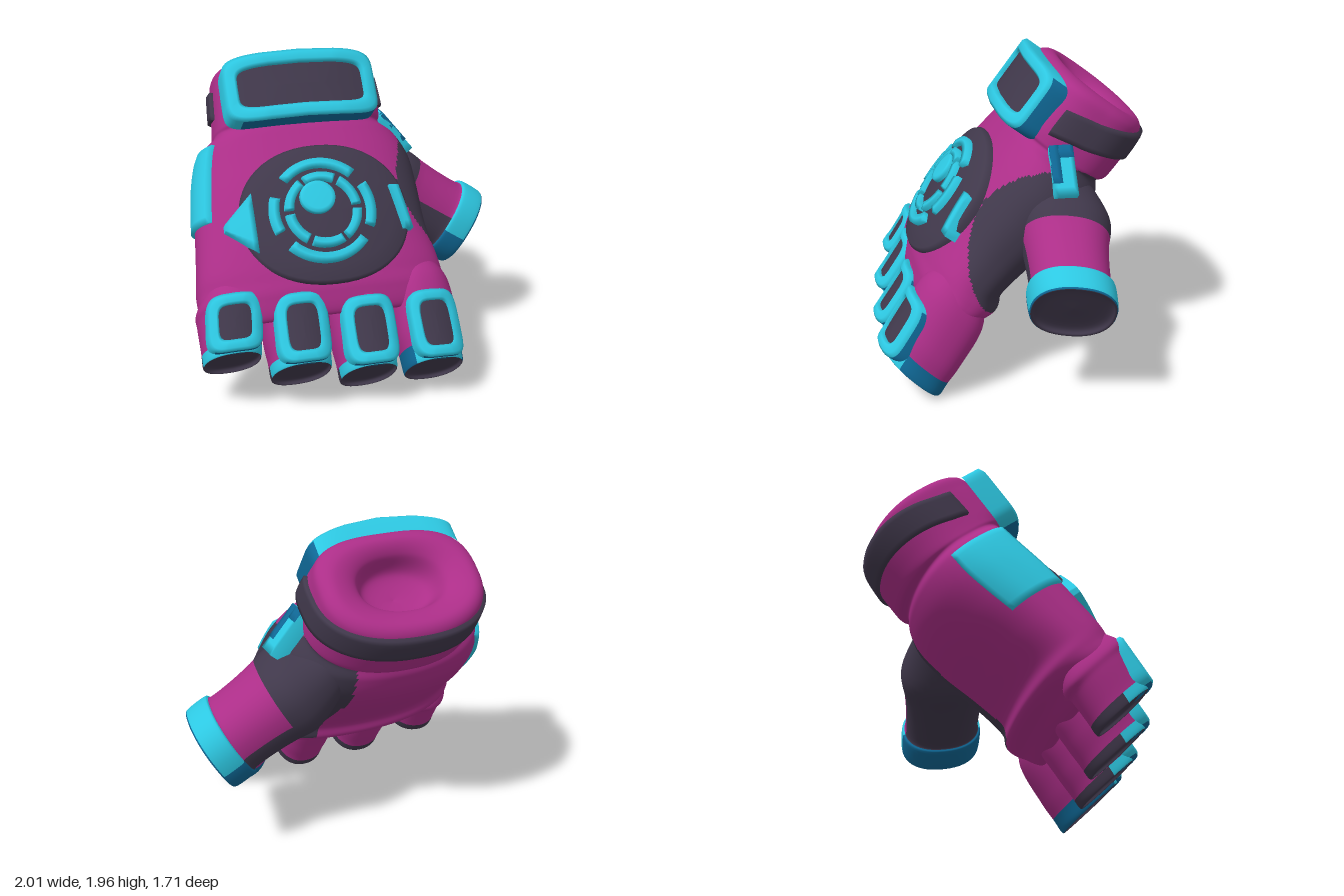
import * as THREE from 'three';

const mat = (name, color) => Object.assign(new THREE.MeshStandardMaterial({ color }), { name });
const magenta = mat('magenta fabric', 0xac2e88);
const dark = mat('dark padding', 0x40384b);
const cyan = mat('cyan trim', 0x2dc8e2);
const blue = mat('deep blue trim', 0x0f6896);

const spow = (a, e) => Math.sign(a) * Math.abs(a) ** e;
const rad = THREE.MathUtils.degToRad;

// Grid surface; pick(u, v, point) chooses the material of each cell.
function surface(name, fn, nu, nv, mats, pick = () => 0, wrap = true) {
  const cols = wrap ? nv : nv + 1, pos = [], buckets = mats.map(() => []);
  for (let i = 0; i <= nu; i++) for (let j = 0; j < cols; j++) pos.push(...fn(i / nu, j / nv));
  for (let i = 0; i < nu; i++) for (let j = 0; j < nv; j++) {
    const k = (j + 1) % cols, a = i * cols + j, b = a + cols, c = (i + 1) * cols + k, d = i * cols + k;
    const u = (i + 0.5) / nu, v = (j + 0.5) / nv;
    buckets[pick(u, v, fn(u, v))].push(a, b, c, a, c, d);
  }
  const g = new THREE.BufferGeometry();
  g.setAttribute('position', new THREE.Float32BufferAttribute(pos, 3));
  g.setIndex(buckets.flat());
  let start = 0;
  buckets.forEach((b, m) => { g.addGroup(start, b.length, m); start += b.length; });
  g.computeVertexNormals();
  const mesh = new THREE.Mesh(g, mats.length > 1 ? mats : mats[0]);
  mesh.name = name;
  return mesh;
}

// Smooth interpolation through rows of numbers, t in 0..1.
function sample(rows, t) {
  const n = rows.length - 1, s = Math.min(t * n, n - 1e-6), i = Math.floor(s), f = s - i;
  const [a, b, c, d] = [-1, 0, 1, 2].map(o => rows[Math.min(n, Math.max(0, i + o))]);
  return b.map((q, k) => q + 0.5 * f * (c[k] - a[k] +
    f * (2 * a[k] - 5 * q + 4 * c[k] - d[k] + f * (3 * (q - c[k]) + d[k] - a[k]))));
}

// Raised pad with soft walls; place(u, v, h) returns a point.
function pad(name, m, place, nu, nv, height, base = -0.03) {
  const inner = (t, n) => Math.min(1, Math.max(0, (t * n - 1) / (n - 2)));
  return surface(name, (u, v) => {
    const edge = u === 0 || v === 0 || u === 1 || v === 1;
    return place(inner(u, nu), inner(v, nv), edge ? base : height);
  }, nu, nv, [m], undefined, false);
}

// Rounded outline swept through rows of [inset, height], inside to outside.
// A second material colours the outer wall at the lower left of the model.
function panel(name, mats, a, b, n, rows, place) {
  const last = rows.length - 1;
  return surface(name, (u, v) => {
    const [d, h] = rows[Math.round(u * last)], t = v * Math.PI * 2;
    return place((a - d) * spow(Math.cos(t), 2 / n), (b - d) * spow(Math.sin(t), 2 / n), h);
  }, last, 56, mats, (u, v) => +(mats.length > 1 && u * last > last - 1 && (v > 0.66 || v < 0.1)));
}
const frameRows = (w, h, base) => [[w, -0.02], [w, h * 0.6], [w * 0.8, h], [w * 0.25, h], [0, h * 0.6], [0, base]];
const solidRows = (r, h) => [[r, h], [r * 0.75, h], [r * 0.5, h], [r * 0.25, h], [r * 0.04, h], [0, h - 0.02], [0, -0.06]];

// Hand and cuff sections: height along hand, left x, right x, palm depth, back depth, squareness.
const HAND = [
  [0.14, -0.5, 0.1, 0.58, 0.72, 0.83], [0.08, -0.9, 0.46, 0.46, 0.84, 0.83], [0.2, -0.97, 0.53, 0.38, 0.91, 0.8],
  [0.3, -0.98, 0.53, 0.32, 0.93, 0.8], [0.4, -0.97, 0.51, 0.35, 0.94, 0.8], [0.6, -0.945, 0.48, 0.3, 0.95, 0.82],
  [0.85, -0.915, 0.48, 0.23, 0.95, 0.83], [1.05, -0.88, 0.47, 0.2, 0.93, 0.82], [1.2, -0.83, 0.4, 0.22, 0.91, 0.78],
  [1.27, -0.75, 0.31, 0.25, 0.9, 0.7], [1.31, -0.74, 0.31, 0.21, 0.93, 0.66], [1.4, -0.73, 0.31, 0.2, 0.95, 0.65],
  [1.58, -0.715, 0.3, 0.2, 0.94, 0.65], [1.68, -0.695, 0.28, 0.22, 0.92, 0.67], [1.715, -0.62, 0.2, 0.29, 0.85, 0.8],
  [1.66, -0.5, 0.07, 0.4, 0.78, 0.9], [1.52, -0.41, -0.02, 0.46, 0.73, 0.95], [1.48, -0.21, -0.21, 0.58, 0.58, 0.95],
];
function handPoint(t, ang, grow = 0) {
  const [v, l, r, p, b, square] = sample(HAND, t);
  const e = Math.sin(ang) > 0 ? square : 0.9;
  return [(l + r) / 2 + ((r - l) / 2 + grow) * spow(Math.cos(ang), e), v,
    (p + b) / 2 + ((b - p) / 2 + grow) * spow(Math.sin(ang), e)];
}
// Parameter of the outer hand surface at a given height.
function handParam(v) {
  let lo = 2 / 17, hi = 13.3 / 17;
  for (let i = 0; i < 30; i++) {
    const mid = (lo + hi) / 2;
    if (sample(HAND, mid)[0] < v) lo = mid; else hi = mid;
  }
  return lo;
}
const onHand = (v0, v1, a0, a1, shift = () => 0) => (u, v, h) => {
  const ang = rad(a0 + (a1 - a0) * v);
  return handPoint(handParam(v0 + (v1 - v0) * u + shift(ang)), ang, h);
};

// Fingertip-first tube used for fingers and thumb; roll leans it sideways.
function tube(name, rows, mats, pick, bend = () => [0, 0], roll = 0) {
  return surface(name, (u, v) => {
    const [y, rx, rz] = sample(rows, u), t = v * Math.PI * 2, [bx, bz] = bend(y);
    const x = rx * spow(Math.cos(t), 0.88), z = rz * spow(Math.sin(t), 0.88);
    return [bx + x, y + z * 0.12, bz + z - roll * x];
  }, 48, 48, mats, pick);
}

export function createModel() {
  const model = new THREE.Group();
  model.name = 'fingerless glove';
  const hand = new THREE.Group();
  hand.name = 'hand';
  hand.rotation.x = -Math.atan2(0.6, 0.8);
  model.add(hand);

  // Palm, back and hollow cuff, with a dark gusset round the thumb
  hand.add(surface('handAndCuff', (u, v) => handPoint(u, v * Math.PI * 2), 170, 180, [magenta, dark],
    (u, v, [x, y, z]) => +(x > 0.06 && ((y - 0.8) / 0.5) ** 2 + ((z - 0.42) / 0.45) ** 2 < 1)));

  // Strap round the back of the cuff, slanting upward towards the palm
  const slant = a => 0.24 * (0.23 - 0.37 * spow(Math.sin(a), 0.83));
  hand.add(pad('cuffStrap', dark, onHand(1.355, 1.535, 172, 386, slant), 8, 60, 0.022, -0.02));

  // Trim on both sides of the hand
  hand.add(pad('outerSidePad', cyan, onHand(0.71, 1.2, 150, 204), 14, 16, 0.022));
  const tab = (u0, u1, z0, z1) => (u, v, h) => {
    const s = u0 + (u1 - u0) * u;
    return [0.3 + 0.2 * s + 0.77 * h, 1.5 - 0.24 * s + 0.64 * h, z0 + (z1 - z0) * v];
  };
  model.add(pad('thumbSideTab', cyan, tab(0, 1, -0.18, -0.32), 8, 8, 0.018, -0.08));
  model.add(pad('thumbSideTabEdge', blue, tab(0, 0.75, -0.18, -0.235), 8, 4, 0.023, 0));
  model.add(pad('thumbSideTabTop', blue, tab(0, 0.25, -0.23, -0.32), 4, 6, 0.023, 0));

  // Cuff plate
  const onCuff = (x, y, h) => [-0.23 + x, 1.46 + y, 1.005 - 0.4 * x * x + h];
  hand.add(panel('cuffPlateFrame', [cyan, blue], 0.47, 0.215, 6, frameRows(0.085, 0.045, -0.1), onCuff));
  hand.add(panel('cuffPlateInset', [dark], 0.42, 0.17, 6, solidRows(0.17, 0.012), onCuff));

  // Domed plate on the back of the hand
  const dome = (x, y, h) => [x, y, 1.01 - 0.35 * (x + 0.2) ** 2 - 0.25 * (y - 0.66) ** 2 + h];
  hand.add(panel('backPlate', [dark], 0.51, 0.425, 2.2, solidRows(0.425, 0), (x, y, h) => dome(x - 0.2, y + 0.66, h)));
  hand.add(panel('backPlateButton', [cyan], 0.105, 0.1, 2, solidRows(0.1, 0.035), (x, y, h) => dome(x - 0.255, y + 0.74, h)));
  const arc = (r0, r1, a0, a1) => hand.add(pad('backPlateArc', cyan, (u, v, h) => {
    const r = r0 + (r1 - r0) * u, a = rad(a0 + (a1 - a0) * v);
    return dome(-0.23 + r * Math.cos(a), 0.665 + r * Math.sin(a), h);
  }, 4, 18, 0.03));
  [[222, 318], [45, 135], [160, 202], [-24, 28]].forEach(([a, b]) => arc(0.26, 0.318, a, b));
  for (let i = 0; i < 6; i++) arc(0.175, 0.228, i * 60 + 4, i * 60 + 56);
  hand.add(pad('backPlateWedge', cyan, (u, v, h) =>
    dome(-0.8 + 0.17 * u, 0.64 + (0.02 + 0.16 * u) * (2 * v - 1), h), 8, 8, 0.02, -0.07));
  hand.add(pad('backPlateBar', cyan, (u, v, h) =>
    dome(0.2 + 0.065 * u + 0.05 * (1 - v), 0.52 + 0.27 * v, h), 5, 8, 0.03, -0.07));

  // Fingers: knuckle x, tip x, tip height, half width, half depth, depth shift, roll
  [['little', -0.79, -0.825, -0.1, 0.17, 0.2, -0.05, -0.1], ['ring', -0.42, -0.43, -0.215, 0.18, 0.22, -0.045, 0],
    ['middle', -0.03, -0.03, -0.275, 0.17, 0.22, -0.04, 0], ['index', 0.35, 0.38, -0.285, 0.185, 0.222, -0.05, 0.18]].forEach(
    ([finger, x0, x1, tip, hx, hz, dz, roll]) => {
      const bend = y => {
        const f = (0.4 - y) / (0.4 - tip);
        return [x0 + (x1 - x0) * f, 0.68 + dz * f];
      };
      const rows = [[tip + 0.03, 0, 0], [tip + 0.03, hx * 0.85, hz - 0.04], [tip, hx * 0.95, hz - 0.015], [tip + 0.02, hx, hz],
        [tip + 0.1, hx + 0.005, hz], [tip + 0.24, hx + 0.02, hz + 0.005], [0.22, 0.19, 0.22], [0.38, 0.1, 0.12]];
      const isIndex = finger === 'index';
      hand.add(tube(finger + 'Finger', rows, [magenta, dark, cyan, blue], (u, v) => {
        const s = Math.sin(v * Math.PI * 2);
        if (u < 2.3 / 7) return 1;
        if (u > (isIndex ? 4.1 : 3.6) / 7) return 0;
        return s > 0.6 ? 2 : isIndex ? 3 : s > 0 ? 2 : 1;
      }, bend, roll));
      // Knuckle pad
      const half = finger === 'little' ? 0.165 : 0.2, mid = tip + 0.03 + half;
      const onFinger = (x, y, h) => {
        const [bx, bz] = bend(mid + y);
        return [bx + x, mid + y, bz + hz + 0.008 - 2 * x * x - roll * x + h];
      };
      hand.add(panel(finger + 'PadFrame', [cyan, blue], 0.16, half, 4.5, frameRows(0.066, 0.035, -0.08), onFinger));
      hand.add(panel(finger + 'PadInset', [dark], 0.12, half - 0.035, 4.5, solidRows(0.12, 0.012), onFinger));
    });

  // Thumb, tip at its own origin
  const thumbRows = [[0.03, 0, 0], [0.03, 0.2, 0.2], [0, 0.24, 0.235], [0.02, 0.262, 0.252], [0.14, 0.262, 0.255],
    [0.17, 0.238, 0.235], [0.32, 0.24, 0.24], [0.45, 0.25, 0.255], [0.62, 0.262, 0.285], [0.85, 0.18, 0.22]];
  const thumb = tube('thumb', thumbRows, [magenta, dark, cyan, blue], (u, v) => {
    const c = Math.cos(v * Math.PI * 2), k = u * 9;
    if (k < 2.4) return 1;
    if (k < 4.7) return c > -0.1 && k > 2.9 ? 2 : 3;
    return c > (v > 0.5 ? -0.1 : 0.12) && k < 7.3 ? 0 : 1;
  });
  thumb.position.set(0.865, 0.69, -0.22);
  thumb.quaternion.setFromUnitVectors(new THREE.Vector3(0, 1, 0), new THREE.Vector3(-0.84, 0.53, -0.06).normalize());
  model.add(thumb);
  return model;
}
